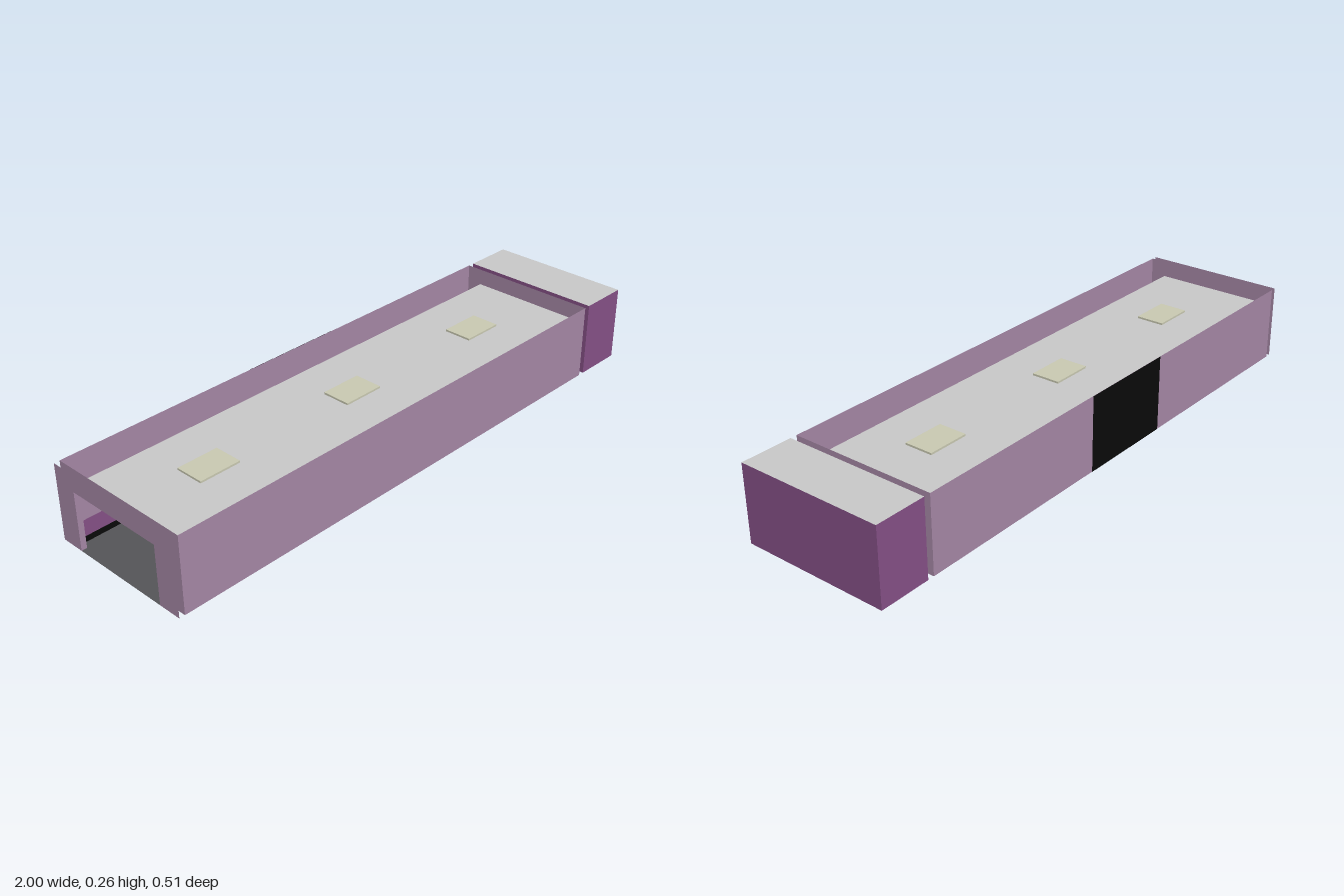
import * as THREE from 'three';

const mat = (name, color) => {
  const m = new THREE.MeshStandardMaterial({ color, side: THREE.DoubleSide });
  m.name = name;
  return m;
};

export function createModel() {
  const wall = mat('mauve wall', 0xa587a5);
  const purple = mat('deep purple', 0x845085);
  const ceilingGrey = mat('ceiling grey', 0xc8c8c8);
  const floorGrey = mat('floor grey', 0x555558);
  const cream = mat('lamp cream', 0xc9c9b2);
  const black = mat('black', 0x0a0a0a);

  const X0 = -0.981, X1 = 0.802, ROOM = 0.824;
  const HALF = 0.255, INNER = 0.2, DOOR = 0.175;
  const TOP = 0.26, CEIL = 0.203, DOORTOP = 0.2;
  const group = new THREE.Group();

  const add = (name, geometry, material, x = 0, y = 0, z = 0) => {
    const mesh = new THREE.Mesh(geometry, material);
    mesh.name = name;
    mesh.position.set(x, y, z);
    group.add(mesh);
    return mesh;
  };
  // horizontal sheet facing up
  const slab = (name, x0, x1, half, y, m) =>
    add(name, new THREE.PlaneGeometry(x1 - x0, half * 2).rotateX(-Math.PI / 2), m, (x0 + x1) / 2, y, 0);
  // upright sheet along x, facing outward on its own side
  const sheet = (name, x0, x1, y0, y1, z, m) =>
    add(name, new THREE.PlaneGeometry(x1 - x0, y1 - y0).rotateY(z < 0 ? Math.PI : 0), m, (x0 + x1) / 2, (y0 + y1) / 2, z);
  // upright cross wall with a doorway
  const doorWall = (name, x, m) => {
    const s = new THREE.Shape([
      [-HALF, 0], [-DOOR, 0], [-DOOR, DOORTOP], [DOOR, DOORTOP],
      [DOOR, 0], [HALF, 0], [HALF, TOP], [-HALF, TOP],
    ].map(([u, v]) => new THREE.Vector2(u, v)));
    add(name, new THREE.ShapeGeometry(s).rotateY(-Math.PI / 2), m, x);
  };

  // corridor floor and suspended ceiling
  slab('corridorFloor', X0, X1, HALF, 0, floorGrey);
  slab('corridorCeiling', X0, X1, INNER, CEIL, ceilingGrey);

  // ceiling lamps
  for (const x of [-0.662, -0.077, 0.506]) {
    add('ceilingLamp', new THREE.BoxGeometry(0.146, 0.009, 0.1), cream, x, CEIL + 0.002, 0);
  }

  // outer shells, and lining with skirting and a dado band
  for (const side of [-1, 1]) {
    const z = side * INNER;
    sheet('outerWall', X0, X1, 0, TOP, side * HALF, wall);
    sheet('skirting', X0, X1, 0, 0.02, z, black);
    sheet('dadoBand', X0, X1, 0.02, 0.075, z, purple);
    sheet('innerWall', X0, X1, 0.075, CEIL, z, wall);
  }

  // dark panel on the back wall
  const bay = (X1 - X0) / 5;
  sheet('backPanel', X0 + bay * 2, X0 + bay * 3, 0, TOP, -HALF - 0.001, black);

  // doorways at both ends: paired cross walls joined by jambs, lintel and sill
  for (const [a, b] of [[-1, X0], [X1, ROOM]]) {
    doorWall('endWall', a, wall);
    doorWall('endWall', b, b === ROOM ? purple : wall);
    for (const side of [-1, 1]) sheet('doorJamb', a, b, 0, DOORTOP, side * DOOR, wall);
    slab('doorLintel', a, b, DOOR, DOORTOP, wall);
    slab('doorSill', a, b, DOOR, 0, floorGrey);
  }

  // closed end room
  slab('roomFloor', ROOM, 1, HALF, 0, floorGrey);
  slab('roomRoof', ROOM, 1, HALF, TOP, ceilingGrey);
  for (const side of [-1, 1]) sheet('roomSideWall', ROOM, 1, 0, TOP, side * HALF, purple);
  add('roomEndWall', new THREE.PlaneGeometry(HALF * 2, TOP).rotateY(Math.PI / 2), purple, 1, TOP / 2, 0);

  return group;
}
